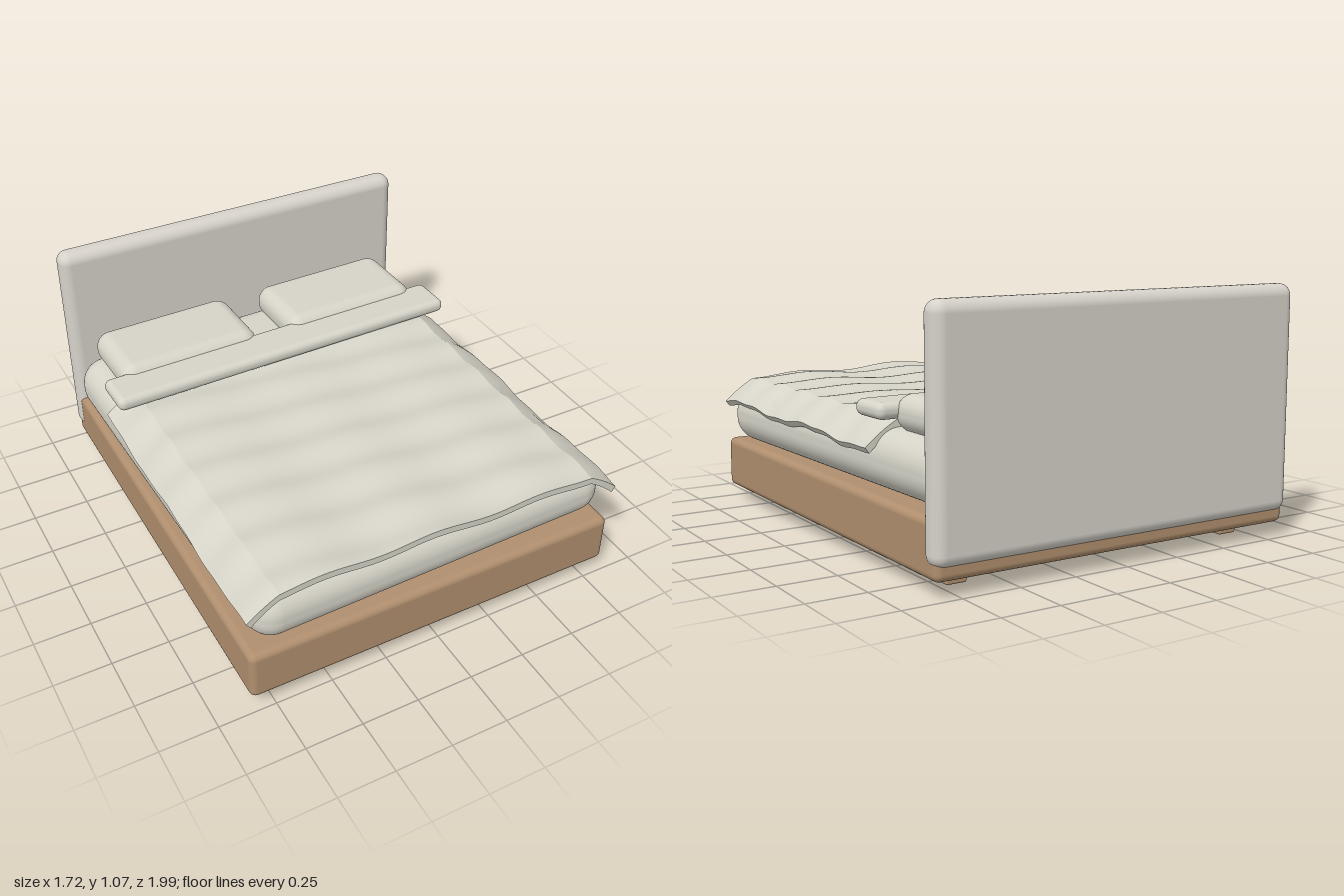
import * as THREE from 'three';
import { RoundedBoxGeometry } from 'three/addons/geometries/RoundedBoxGeometry.js';

export function createModel() {
  const bed = new THREE.Group();
  bed.name = 'bed';

  const material = (name, color) => {
    const m = new THREE.MeshStandardMaterial({ color });
    m.name = name;
    return m;
  };
  const wood = material('wood', 0xb08f6e);
  const upholstery = material('upholstery', 0xd6d2ca);
  const linen = material('linen', 0xd6d4c8);

  const add = (name, geometry, mat, x = 0, y = 0, z = 0, turn = 0) => {
    const mesh = new THREE.Mesh(geometry, mat);
    mesh.name = name;
    mesh.position.set(x, y, z);
    mesh.rotation.y = turn;
    bed.add(mesh);
  };
  const softBox = (w, h, d, r, segments = 5) => new RoundedBoxGeometry(w, h, d, segments, r);

  // Frame, feet and headboard
  add('frame', softBox(1.7, 0.23, 1.97, 0.03), wood, 0, 0.175, 0.005);
  for (const x of [-0.675, 0.675]) {
    for (const z of [-0.79, 0.8]) {
      add('foot', softBox(0.09, 0.08, 0.09, 0.008, 2), wood, x, 0.04, z);
    }
  }
  add('headboard', softBox(1.72, 0.96, 0.11, 0.05), upholstery, 0, 0.59, -0.945);

  // Mattress, pillows and folded sheet lie slightly askew
  const skew = 0.024;
  add('mattress', softBox(1.67, 0.25, 1.88, 0.115, 8), linen, 0, 0.415, 0.025, skew);
  for (const [x, z] of [[-0.425, -0.667], [0.415, -0.677]]) {
    add('pillow', softBox(0.68, 0.15, 0.4, 0.07, 8), linen, x, 0.605, z, skew);
  }
  add('foldedSheet', softBox(1.69, 0.066, 0.2, 0.03), linen, 0, 0.617, -0.43, skew);

  // Duvet: gently rippled slabs, flat on top and sloping at both sides
  const ripple = (x, z) =>
    0.007 * Math.sin(26 * z - 3 * x) + 0.009 * Math.cos(12.5 * x + 0.4) * (0.4 + 0.6 * Math.max(0, z));
  const start = -0.465, end = 0.99, length = end - start, thickness = 0.03;
  const rippledSlab = (width, segments, place) => {
    const g = new THREE.BoxGeometry(width, thickness, length, segments, 1, 90);
    const p = g.attributes.position;
    for (let i = 0; i < p.count; i++) {
      const z = p.getZ(i) + (start + end) / 2;
      p.setXYZ(i, ...place(p.getX(i), p.getY(i), z));
    }
    g.computeVertexNormals();
    return g;
  };

  const half = 0.72;
  add('duvetTop', rippledSlab(half * 2, 60, (x, y, z) => [x, 0.565 + y + ripple(x, z), z]), linen);
  for (const side of [-1, 1]) {
    // t runs from the crease (0) to the hanging hem (1)
    const flap = rippledSlab(0.18, 8, (u, y, z) => {
      const t = 0.5 + (side * u) / 0.18;
      const x = side * (half + 0.13 * t + 0.6 * y * t);
      const hem = 0.01 * Math.sin(9 * z + side) * t;
      return [x, 0.565 + y * (1 - 0.2 * t) - 0.1 * t * (0.75 + 0.25 * t) + hem + ripple(side * half, z) * (1 - 0.5 * t), z];
    });
    add(side < 0 ? 'duvetRightSide' : 'duvetLeftSide', flap, linen);
  }

  return bed;
}
